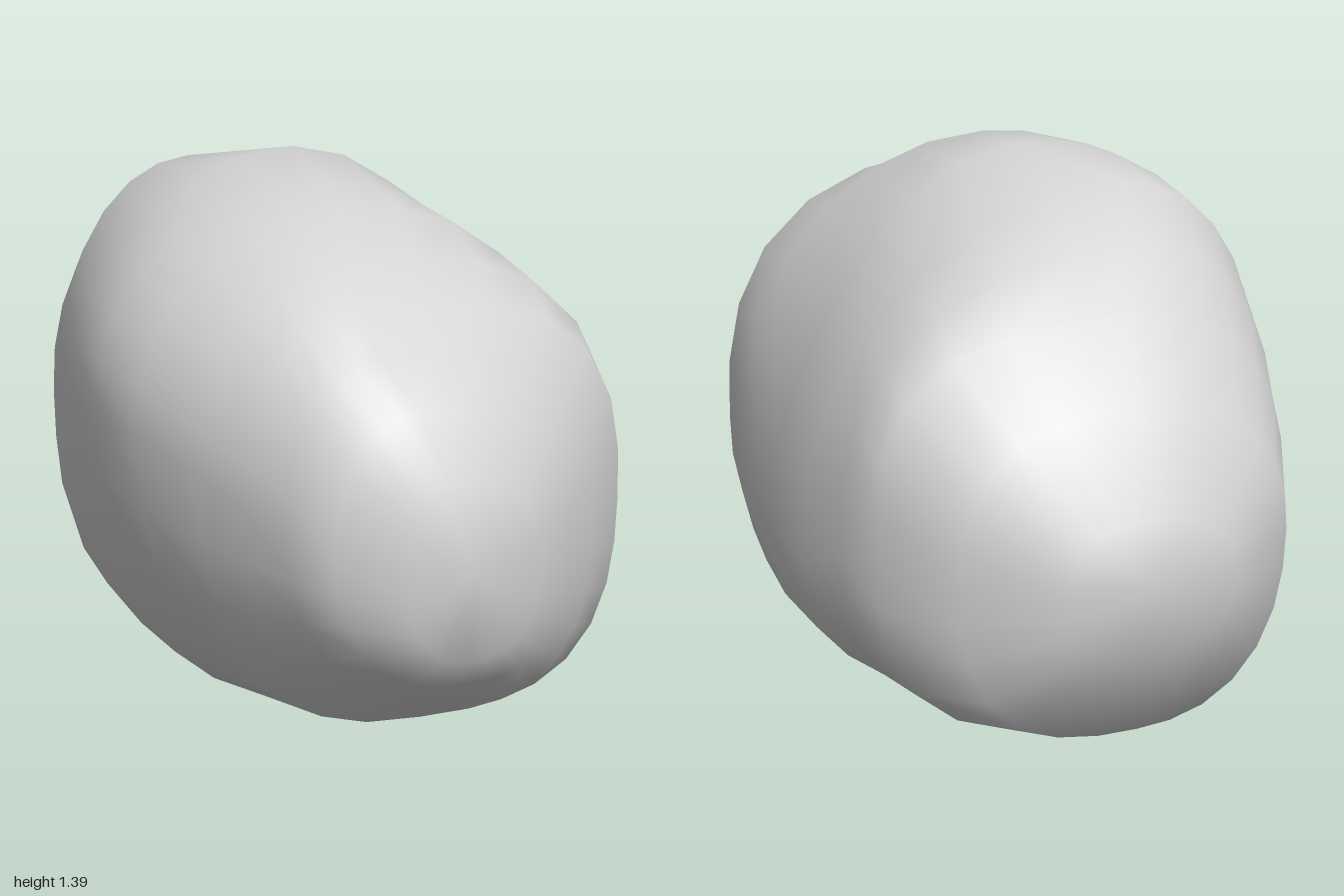
import * as THREE from 'three';

// Cross-sections from back to front:
// z, xMin, xMax, yMin, yMax, x of crown, x of lowest point, y of left-hand and right-hand
// bulge, squareness of the upper +x corner and of the lower -x corner
const SECTIONS = [
  [-0.98, -0.18, 0.25, 0.38, 0.72, 0.03, 0.03, 0.56, 0.56, 2.2, 2.2],
  [-0.85, -0.385, 0.45, 0.13, 0.94, 0, 0, 0.58, 0.58, 2.6, 2.4],
  [-0.69, -0.465, 0.59, 0.08, 1.11, -0.05, -0.02, 0.64, 0.6, 3.1, 2.8],
  [-0.55, -0.52, 0.625, 0.085, 1.22, -0.12, -0.06, 0.68, 0.56, 2.6, 3.2],
  [-0.38, -0.565, 0.67, 0.085, 1.33, -0.18, -0.1, 0.73, 0.5, 2.1, 3.4],
  [-0.1, -0.64, 0.66, 0.04, 1.39, -0.01, -0.1, 0.82, 0.48, 1.75, 2.8],
  [0.14, -0.675, 0.635, 0, 1.355, -0.05, -0.13, 0.875, 0.5, 1.85, 2.2],
  [0.32, -0.65, 0.61, 0.015, 1.33, -0.1, -0.05, 0.85, 0.52, 2.1, 2.15],
  [0.52, -0.585, 0.575, 0.045, 1.245, -0.18, 0, 0.8, 0.55, 2.6, 2.2],
  [0.63, -0.54, 0.525, 0.09, 1.175, -0.22, 0.1, 0.77, 0.57, 2.7, 2.2],
  [0.76, -0.48, 0.36, 0.19, 1.09, -0.24, 0.08, 0.73, 0.6, 2.5, 2.2],
  [0.87, -0.415, 0.22, 0.3, 0.99, -0.2, -0.02, 0.68, 0.62, 2.3, 2.2],
  [0.95, -0.27, 0.08, 0.4, 0.84, -0.14, -0.1, 0.65, 0.63, 2.2, 2.2],
];
const BACK = [0.05, 0.56, -1], FRONT = [-0.13, 0.64, 1];
const SIDES = 28, LOWER_RIGHT = 2.7, UPPER_LEFT = 2.1;

// One point of a section made of four rounded corners, clockwise from the crown
function sectionPoint([z, x0, x1, y0, y1, xTop, xBottom, yLeft, yRight, nUpper, nLower], angle) {
  const s = Math.sin(angle), c = Math.cos(angle), right = s >= 0, top = c >= 0;
  const n = top ? (right ? nUpper : UPPER_LEFT) : (right ? LOWER_RIGHT : nLower);
  const r = (Math.abs(s) ** n + Math.abs(c) ** n) ** (-1 / n);
  const cx = top ? xTop : xBottom, cy = right ? yRight : yLeft;
  const x = cx + r * Math.abs(s) * ((right ? x1 : x0) - cx);
  let y = cy + r * Math.abs(c) * ((top ? y1 : y0) - cy);
  // Small hollow in the underside towards the back
  if (!top) y += 0.07 * Math.exp(-((x + 0.05) ** 2 + (z + 0.42) ** 2) / 0.025);
  return [x, y, z];
}

function stoneGeometry() {
  const pos = [], index = [], last = SECTIONS.length - 1;
  for (const section of SECTIONS) {
    for (let j = 0; j < SIDES; j++) pos.push(...sectionPoint(section, (j / SIDES) * Math.PI * 2));
  }
  const back = pos.length / 3, front = back + 1;
  pos.push(...BACK, ...FRONT);
  for (let j = 0; j < SIDES; j++) {
    const k = (j + 1) % SIDES;
    index.push(back, j, k);
    for (let i = 0; i < last; i++) {
      const a = i * SIDES + j, b = i * SIDES + k, c = a + SIDES, d = b + SIDES;
      index.push(a, c, b, b, c, d);
    }
    index.push(last * SIDES + j, front, last * SIDES + k);
  }
  const geometry = new THREE.BufferGeometry();
  geometry.setAttribute('position', new THREE.Float32BufferAttribute(pos, 3));
  geometry.setIndex(index);
  geometry.computeVertexNormals();
  return geometry;
}

export function createModel() {
  const stoneGrey = new THREE.MeshStandardMaterial({ color: 0xd4d4d4 });
  stoneGrey.name = 'stone grey';
  const stone = new THREE.Mesh(stoneGeometry(), stoneGrey);
  stone.name = 'stone';
  const group = new THREE.Group();
  group.name = 'boulder';
  group.add(stone);
  return group;
}
